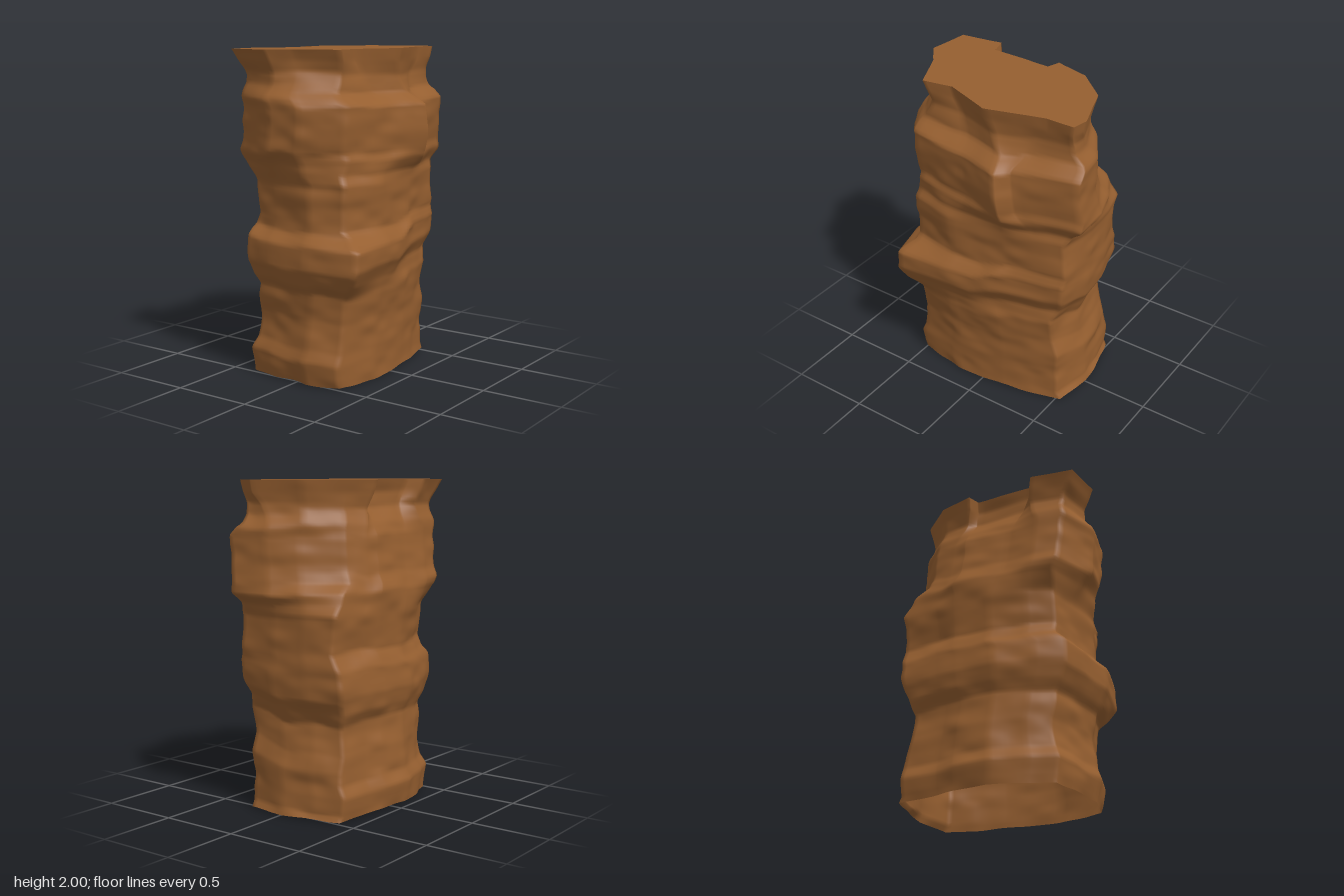
import * as THREE from 'three';

// Outlines, in units of the half width and half depth: front left to right, right side, back, left side
const base = [-.9, .86, -.37, 1, .25, .93, .6, .84, .94, .73, .99, .1, .95, -.4, .86, -.85, .45, -.9, .2, -.97, -.2, -1, -.6, -.87, -.86, -.72, -.93, -.3, -1, .35];
const ledge = [-.88, 1, -.3, .97, .15, .88, .6, .74, .94, .62, .99, .1, .95, -.4, .85, -.87, .45, -.92, .2, -.97, -.2, -1, -.6, -.87, -.87, -.72, -.95, -.3, -1, .3];
const upper = [-.73, .68, -.15, .8, .29, 1, .41, .8, 1, .57, .94, .02, .8, -.36, .53, -.84, .3, -.95, .15, -1, -.3, -.95, -.6, -1, -.83, -.95, -1, -.3, -.97, .15];
const crown = [-.64, .77, -.34, .69, .13, 1, .69, .74, .97, .74, 1, .49, .83, -.28, .53, -.74, .18, -.9, .14, -.69, -.48, -.72, -.53, -1, -.95, -.9, -1, -.23, -.83, .13];
const strata = [[0, base], [.55, base], [.65, ledge], [.86, ledge], [.96, base], [1.22, base],
  [1.39, upper], [1.68, upper], [1.93, crown], [2, crown]];

// Side profiles as [height, reach]
const left = [[0, -.55], [.15, -.57], [.22, -.54], [.4, -.52], [.57, -.54], [.62, -.58], [.72, -.63], [.87, -.62], [.93, -.55],
  [1.2, -.55], [1.33, -.6], [1.4, -.64], [1.72, -.66], [1.8, -.61], [1.87, -.6], [2, -.67]];
const right = [[0, .575], [.04, .55], [.3, .54], [.4, .51], [.57, .5], [.62, .53], [.72, .58], [.88, .59], [1.2, .59],
  [1.28, .62], [1.33, .67], [1.5, .65], [1.72, .64], [1.8, .58], [1.87, .57], [2, .6]];
const front = [[0, .36], [.2, .36], [.4, .37], [.58, .4], [.65, .42], [.75, .47], [.87, .47], [.95, .39], [1.1, .39],
  [1.2, .4], [1.27, .4], [1.35, .46], [1.6, .48], [1.67, .48], [1.74, .37], [1.85, .34], [2, .37]];
const back = [[0, -.46], [.15, -.47], [.22, -.44], [.4, -.44], [.58, -.42], [.65, -.45], [.75, -.47], [.9, -.46], [1, -.41],
  [1.2, -.44], [1.35, -.45], [1.45, -.41], [1.6, -.39], [1.75, -.38], [1.84, -.35], [2, -.41]];

// Finds the two keys around a height and the blend between them
function span(keys, y) {
  let i = 0;
  while (i < keys.length - 2 && y > keys[i + 1][0]) i++;
  const t = (y - keys[i][0]) / (keys[i + 1][0] - keys[i][0]);
  return [keys[i][1], keys[i + 1][1], THREE.MathUtils.clamp(t, 0, 1)];
}
const reach = (keys, y) => THREE.MathUtils.lerp(...span(keys, y));

// Seeded value noise in -1..1
function hash(x, y, z) {
  const s = Math.sin(x * 127.1 + y * 311.7 + z * 74.7) * 43758.5453;
  return (s - Math.floor(s)) * 2 - 1;
}
function noise(x, y, z) {
  const [X, Y, Z] = [x, y, z].map(Math.floor);
  const [a, b, c] = [x - X, y - Y, z - Z].map(t => t * t * (3 - 2 * t));
  const mix = THREE.MathUtils.lerp;
  const row = (j, k) => mix(hash(X, Y + j, Z + k), hash(X + 1, Y + j, Z + k), a);
  return mix(mix(row(0, 0), row(1, 0), b), mix(row(0, 1), row(1, 1), b), c);
}

const CORNERS = 15, STEPS = 8, RING = CORNERS * STEPS, ROWS = 130;

// One weathered point on the rock wall
function wallPoint(i, y) {
  const k = Math.floor(i / STEPS), t = (i % STEPS) / STEPS, n = (k + 1) % CORNERS;
  const at = (plan, c) => THREE.MathUtils.lerp(plan[k * 2 + c], plan[n * 2 + c], t);
  const [bu, bv] = [at(base, 0), at(base, 1)];
  // Wavy strata; on the front the lower ledge climbs to the right
  const wave = .022 * noise(bu * 2.5 + 7, y * 2, bv * 2.5) * Math.min(1, (2 - y) * 6);
  const climb = .11 * Math.max(0, bu) * Math.max(0, bv) * Math.sin(Math.PI * Math.min(1, y / 1.25));
  const yy = y + wave - climb;
  const [lo, hi, f] = span(strata, yy);
  const u = THREE.MathUtils.lerp(at(lo, 0), at(hi, 0), f);
  const v = THREE.MathUtils.lerp(at(lo, 1), at(hi, 1), f);
  const x = THREE.MathUtils.lerp(reach(left, yy), reach(right, yy), (u + 1) / 2);
  const z = THREE.MathUtils.lerp(reach(back, yy), reach(front, yy), (v + 1) / 2);
  const bump = .013 * noise(x * 4, y * 6, z * 4) + .008 * noise(x * 8 + 5, y * 14, z * 8);
  const r = 1 + bump * Math.min(1, .3 + (2 - y) * 4) / Math.hypot(x, z);
  const foot = y === 0 ? .01 + .01 * noise(x * 6, 3, z * 6) : y;
  return [x * r, foot, z * r];
}

export function createModel() {
  const group = new THREE.Group();
  const material = new THREE.MeshStandardMaterial({ color: 0x965f30, side: THREE.DoubleSide });

  // Layered wall, open at the foot
  const positions = [], index = [];
  for (let j = 0; j <= ROWS; j++) {
    const y = j === 0 ? 0 : .02 + 1.98 * j / ROWS;
    for (let i = 0; i < RING; i++) {
      positions.push(...wallPoint(i, y));
      if (j === ROWS) continue;
      const a = j * RING + i, b = j * RING + (i + 1) % RING;
      index.push(a, b, a + RING, b, b + RING, a + RING);
    }
  }
  const wall = new THREE.BufferGeometry();
  wall.setAttribute('position', new THREE.Float32BufferAttribute(positions, 3));
  wall.setIndex(index);
  wall.computeVertexNormals();
  const wallMesh = new THREE.Mesh(wall, material);
  wallMesh.name = 'rockWall';

  // Flat top following the last ring
  const rim = [];
  for (let i = 0; i < RING; i++) {
    const [x, , z] = wallPoint(i, 2);
    rim.push(new THREE.Vector2(x, -z));
  }
  const top = new THREE.ShapeGeometry(new THREE.Shape(rim)).rotateX(-Math.PI / 2).translate(0, 2, 0);
  const topMesh = new THREE.Mesh(top, material);
  topMesh.name = 'flatTop';

  group.add(wallMesh, topMesh);
  group.name = 'rockPillar';
  return group;
}
